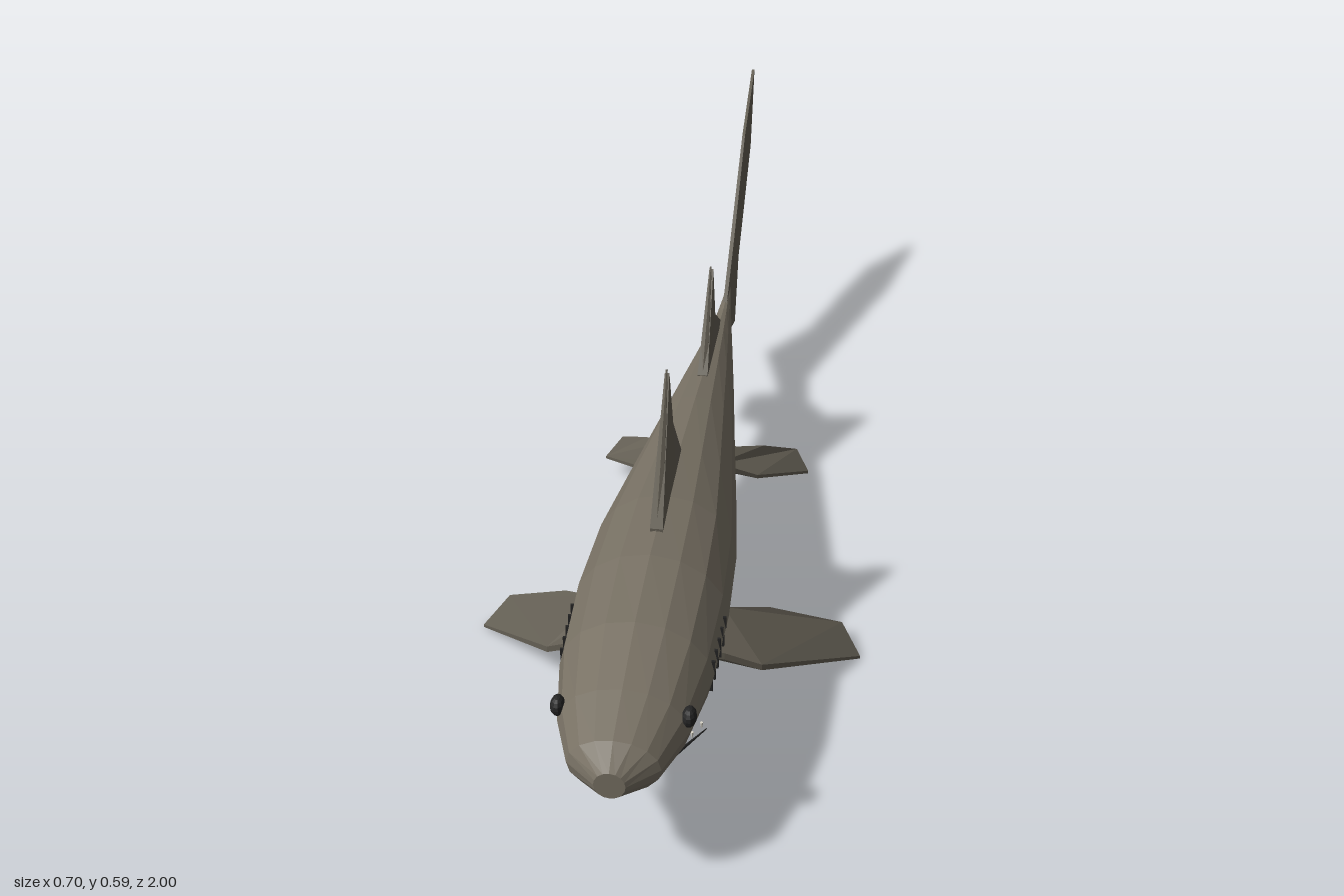
import * as THREE from 'three';

const skin = new THREE.MeshStandardMaterial({ color: 0x777063, flatShading: true });
const finSkin = new THREE.MeshStandardMaterial({ color: 0x645f54, flatShading: true });
const dark = new THREE.MeshStandardMaterial({ color: 0x242424, flatShading: true });
const ivory = new THREE.MeshStandardMaterial({ color: 0xd8d4c8, flatShading: true });

function meshFrom(name, positions, indices, material) {
  const g = new THREE.BufferGeometry();
  g.setAttribute('position', new THREE.Float32BufferAttribute(positions, 3));
  g.setIndex(indices);
  const flat = g.toNonIndexed();
  flat.computeVertexNormals();
  const m = new THREE.Mesh(flat, material);
  m.name = name;
  return m;
}

// Body rings from nose to tail: z, top, bottom, half width
const RINGS = [
  [1.0, 0.26, 0.21, 0.025], [0.96, 0.29, 0.188, 0.074], [0.87, 0.315, 0.165, 0.105],
  [0.74, 0.345, 0.14, 0.126], [0.58, 0.36, 0.126, 0.132], [0.4, 0.355, 0.117, 0.125],
  [0.22, 0.336, 0.117, 0.104], [0, 0.311, 0.126, 0.076], [-0.2, 0.284, 0.145, 0.051],
  [-0.35, 0.262, 0.164, 0.031], [-0.45, 0.252, 0.19, 0.017], [-0.55, 0.256, 0.244, 0.004],
];
const SIDES = 16;

function makeBody() {
  const pos = [], idx = [];
  for (const [z, top, bottom, w] of RINGS) {
    for (let i = 0; i < SIDES; i++) {
      const a = (i / SIDES) * Math.PI * 2;
      pos.push(Math.sin(a) * w, (top + bottom) / 2 + Math.cos(a) * (top - bottom) / 2, z);
    }
  }
  const last = (RINGS.length - 1) * SIDES;
  for (let r = 0; r < last; r += SIDES) {
    for (let i = 0; i < SIDES; i++) {
      const j = (i + 1) % SIDES;
      idx.push(r + i, r + j, r + SIDES + i, r + j, r + SIDES + j, r + SIDES + i);
    }
  }
  // Flat nose and tail caps
  for (let i = 1; i < SIDES - 1; i++) {
    idx.push(0, i + 1, i, last, last + i, last + i + 1);
  }
  return meshFrom('body', pos, idx, skin);
}

// Thin tapered blade: outline points [x, y, z, half thickness], thickened along one axis
function blade(name, outline, axis) {
  const flatten = ([x, y, z]) => (axis === 'x' ? new THREE.Vector2(y, z) : new THREE.Vector2(z, x));
  let pts = outline;
  if (THREE.ShapeUtils.isClockWise(pts.map(flatten))) pts = [...pts].reverse();
  const n = pts.length, pos = [], idx = [];
  for (const s of [1, -1]) {
    for (const [x, y, z, t] of pts) {
      pos.push(axis === 'x' ? x + s * t : x, axis === 'y' ? y + s * t : y, z);
    }
  }
  for (const [a, b, c] of THREE.ShapeUtils.triangulateShape(pts.map(flatten), [])) {
    idx.push(a, b, c, n + c, n + b, n + a);
  }
  for (let i = 0; i < n; i++) {
    const j = (i + 1) % n;
    idx.push(n + i, n + j, j, n + i, j, i);
  }
  return meshFrom(name, pos, idx, finSkin);
}

// Upright fin on the centre plane: points [z, y, half thickness]
const uprightFin = (name, pts) => blade(name, pts.map(([z, y, t]) => [0, y, z, t]), 'x');

// Tapered rod between two points
function rod(name, from, to, r0, r1, material, sides = 6) {
  const a = new THREE.Vector3(...from), b = new THREE.Vector3(...to);
  const dir = b.clone().sub(a);
  const m = new THREE.Mesh(new THREE.CylinderGeometry(r1, r0, dir.length(), sides), material);
  m.position.copy(a).add(b).multiplyScalar(0.5);
  m.quaternion.setFromUnitVectors(new THREE.Vector3(0, 1, 0), dir.normalize());
  m.name = name;
  return m;
}

// Half width of the body at height y and station z
function bodyX(z, y) {
  const k = Math.max(1, RINGS.findIndex((r) => r[0] <= z));
  const p = RINGS[k - 1], q = RINGS[k], f = (z - p[0]) / (q[0] - p[0]);
  const [, top, bottom, w] = p.map((v, i) => v + (q[i] - v) * f);
  const u = (y - (top + bottom) / 2) / ((top - bottom) / 2);
  return w * Math.sqrt(Math.max(0, 1 - u * u));
}

export function createModel() {
  const shark = new THREE.Group();
  shark.name = 'shark';
  shark.add(makeBody());

  // Fins along the back, each with a stiff leading spine
  shark.add(uprightFin('frontDorsalFin', [
    [0.51, 0.34, 0.011], [0.51, 0.362, 0.011], [0.37, 0.585, 0.004],
    [0.33, 0.46, 0.004], [0.22, 0.33, 0.003], [0.3, 0.315, 0.006]]));
  shark.add(rod('frontDorsalSpine', [0, 0.345, 0.505], [0, 0.595, 0.375], 0.012, 0.002, finSkin));
  shark.add(uprightFin('rearDorsalFin', [
    [-0.1, 0.27, 0.01], [-0.1, 0.298, 0.01], [-0.235, 0.462, 0.004],
    [-0.28, 0.335, 0.003], [-0.38, 0.265, 0.002], [-0.3, 0.255, 0.005]]));
  shark.add(rod('rearDorsalSpine', [0, 0.285, -0.105], [0, 0.473, -0.225], 0.011, 0.002, finSkin));

  // Fin under the tail root and the long upswept tail
  shark.add(uprightFin('analFin', [
    [-0.29, 0.18, 0.004], [-0.39, 0.057, 0.003], [-0.47, 0.08, 0.003], [-0.44, 0.2, 0.004]]));
  shark.add(uprightFin('tailFin', [
    [-0.43, 0.185, 0.004], [-0.46, 0.24, 0.004], [-0.6, 0.335, 0.004], [-0.81, 0.49, 0.003],
    [-1, 0.57, 0.003], [-0.94, 0.41, 0.003], [-0.79, 0.3, 0.003], [-0.71, 0.245, 0.003],
    [-0.65, 0.11, 0.003]]));

  for (const s of [1, -1]) {
    const side = s > 0 ? 'left' : 'right';
    const paired = (name, pts) =>
      shark.add(blade(side + name, pts.map(([x, y, z, t]) => [x * s, y, z, t]), 'y'));

    // Paired swimming fins
    paired('PectoralFin', [
      [0.07, 0.168, 0.585, 0.007], [0.125, 0.153, 0.575, 0.007], [0.188, 0.119, 0.555, 0.006],
      [0.35, 0.004, 0.365, 0.003], [0.312, 0.031, 0.305, 0.003], [0.185, 0.121, 0.395, 0.005],
      [0.11, 0.162, 0.46, 0.007], [0.07, 0.17, 0.47, 0.007]]);
    paired('PelvicFin', [
      [0.035, 0.147, -0.005, 0.005], [0.075, 0.136, -0.015, 0.005], [0.118, 0.108, -0.04, 0.004],
      [0.21, 0.04, -0.17, 0.003], [0.182, 0.062, -0.215, 0.003], [0.12, 0.113, -0.14, 0.004],
      [0.07, 0.138, -0.09, 0.005], [0.03, 0.15, -0.085, 0.005]]);

    // Eye
    const eye = new THREE.Mesh(new THREE.SphereGeometry(1, 10, 8), dark);
    eye.name = side + 'Eye';
    eye.scale.set(0.012, 0.017, 0.018);
    eye.position.set(s * 0.104, 0.268, 0.865);
    shark.add(eye);

    // Mouth corner with small teeth
    shark.add(rod(side + 'Mouth', [s * 0.04, 0.193, 0.94], [s * 0.12, 0.17, 0.78], 0.006, 0.001, dark));
    for (let i = 0; i < 4; i++) {
      const z = 0.87 - i * 0.025, x = s * (0.078 + i * 0.012);
      shark.add(rod(side + 'Tooth' + (i + 1), [x, 0.196, z], [x, 0.184, z], 0.003, 0.0005, ivory, 4));
    }

    // Gill slits, each of two short segments
    for (let i = 0; i < 5; i++) {
      for (const y of [0.216, 0.254]) {
        const z = 0.725 - i * 0.029;
        const slit = new THREE.Mesh(new THREE.BoxGeometry(0.006, 0.024, 0.004), dark);
        slit.name = side + 'GillSlit' + (i + 1);
        slit.position.set(s * (bodyX(z, y) - 0.002), y, z);
        shark.add(slit);
      }
    }
  }
  return shark;
}
